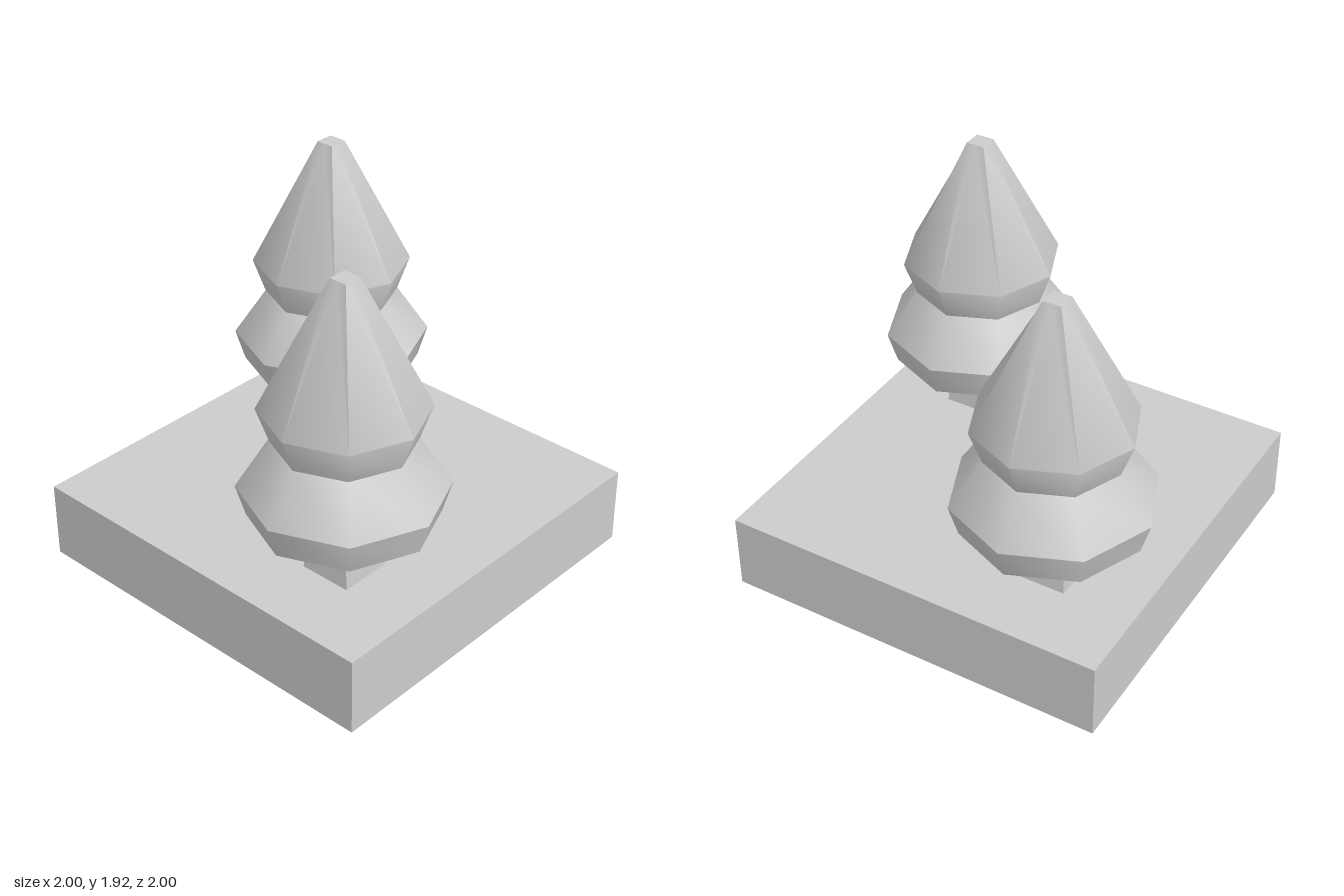
import * as THREE from 'three';
import { toCreasedNormals } from 'three/addons/utils/BufferGeometryUtils.js';

const material = new THREE.MeshStandardMaterial({ color: 0xcccccc });
const flatMaterial = new THREE.MeshStandardMaterial({ color: 0xcccccc, flatShading: true });

// Two-tier octagonal crown whose eight sides close into a small square tip
function crownGeometry() {
  const tipY = 1.925, tipHalf = 0.047;
  const profile = [
    [0, 0.705], [0.452, 0.705], [0.5, 0.865], [0.338, 1.102],
    [0.4, 1.277], [tipHalf * Math.SQRT2, tipY], [0, tipY],
  ].map(([r, y]) => new THREE.Vector2(r, y));
  const geometry = new THREE.LatheGeometry(profile, 8);
  const p = geometry.attributes.position;
  for (let i = 0; i < p.count; i++) {
    const x = p.getX(i), z = p.getZ(i);
    // Pull the tip's on-axis corners in to the middles of the square's sides
    if (p.getY(i) > tipY - 0.01 && Math.abs(x * z) < 1e-6) {
      p.setX(i, x * Math.SQRT1_2);
      p.setZ(i, z * Math.SQRT1_2);
    }
  }
  return toCreasedNormals(geometry, THREE.MathUtils.degToRad(47));
}

// Square tapered trunk
function trunkGeometry() {
  return new THREE.CylinderGeometry(0.105 * Math.SQRT2, 0.135 * Math.SQRT2, 0.305, 4)
    .rotateY(Math.PI / 4)
    .translate(0, 0.5525, 0);
}

function addMesh(parent, name, geometry, mat) {
  const mesh = new THREE.Mesh(geometry, mat);
  mesh.name = name;
  parent.add(mesh);
}

export function createModel() {
  const model = new THREE.Group();
  model.name = 'treeTile';

  // Ground slab
  addMesh(model, 'groundSlab', new THREE.BoxGeometry(2, 0.4, 2).translate(0, 0.2, 0), flatMaterial);

  // Two matching trees on opposite corners
  const crown = crownGeometry(), trunk = trunkGeometry();
  for (const [name, x, z] of [['frontRightTree', -0.5, 0.5], ['backLeftTree', 0.5, -0.5]]) {
    const tree = new THREE.Group();
    tree.name = name;
    tree.position.set(x, 0, z);
    addMesh(tree, 'trunk', trunk, flatMaterial);
    addMesh(tree, 'crown', crown, material);
    model.add(tree);
  }
  return model;
}
